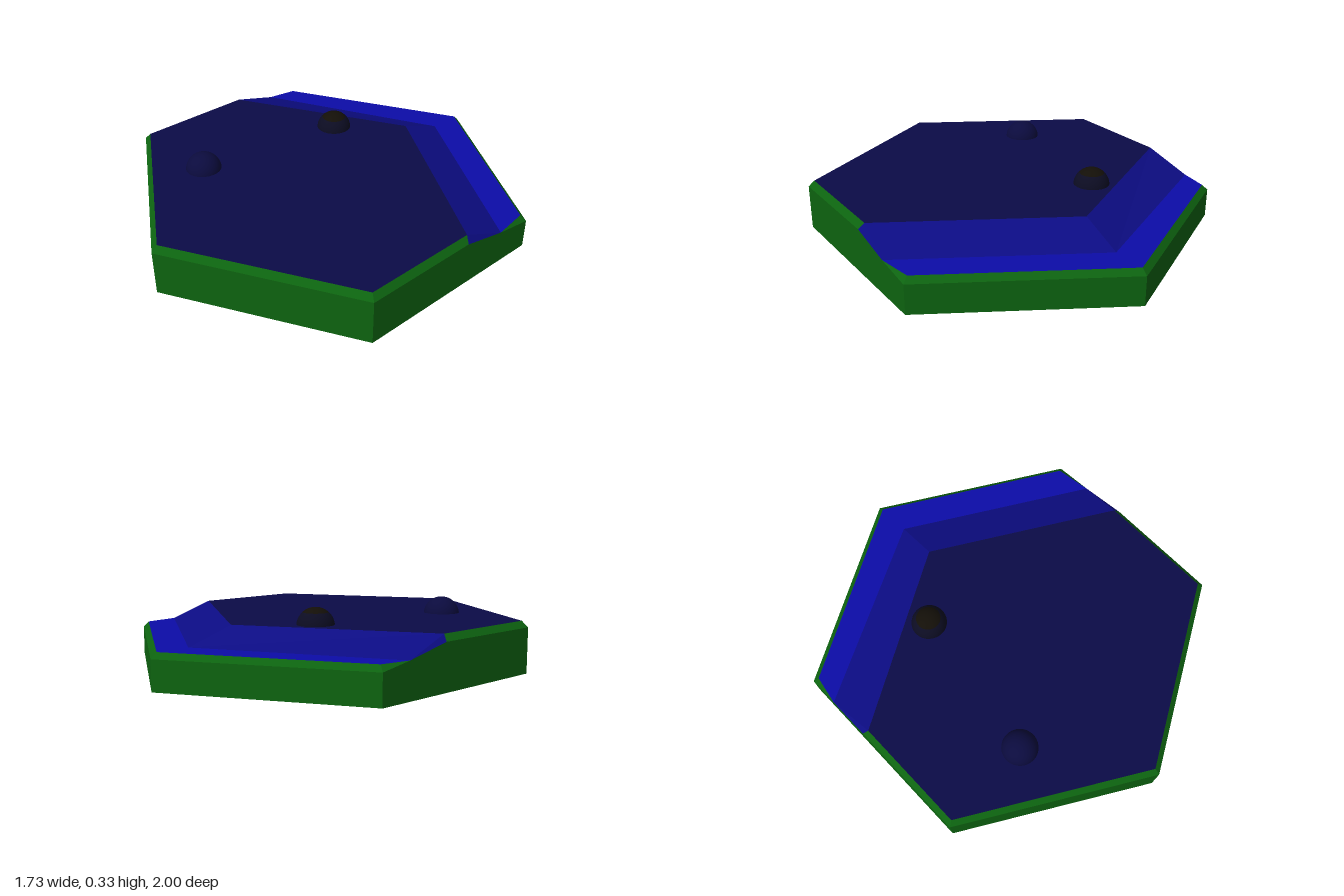
import * as THREE from 'three';

const mat = (name, color) => Object.assign(new THREE.MeshStandardMaterial({ color }), { name });

// Builds one flat-shaded mesh from convex polygons, wound to face away from a point inside the tile
function polygons(name, faces, material) {
  const inside = new THREE.Vector3(0.1, 0.08, 0);
  const pos = [];
  for (const face of faces) {
    const p = face.map((a) => new THREE.Vector3(...a));
    const n = new THREE.Vector3();
    for (let i = 1; i < p.length - 1; i++) {
      n.add(p[i].clone().sub(p[0]).cross(p[i + 1].clone().sub(p[0])));
    }
    if (n.dot(p[0].clone().sub(inside)) < 0) p.reverse();
    for (let i = 1; i < p.length - 1; i++) {
      for (const v of [p[0], p[i], p[i + 1]]) pos.push(v.x, v.y, v.z);
    }
  }
  const g = new THREE.BufferGeometry();
  g.setAttribute('position', new THREE.Float32BufferAttribute(pos, 3));
  g.computeVertexNormals();
  const mesh = new THREE.Mesh(g, material);
  mesh.name = name;
  return mesh;
}

export function createModel() {
  const green = mat('green', 0x0d6410);
  const highBlue = mat('deepNavy', 0x0b0b47);
  const slopeBlue = mat('midBlue', 0x0c0c84);
  const lowBlue = mat('brightBlue', 0x0c0ca8);
  const moundBlue = mat('moundNavy', 0x0b0b3e);
  const moundDark = mat('moundDark', 0x0c0c22);
  const capBrown = mat('darkBrown', 0x130f08);

  const tile = new THREE.Group();
  tile.name = 'hexTile';

  const HIGH = 0.25, HIGH_RIM = 0.22, LOW = 0.17, LOW_RIM = 0.143, INSET = 0.97;
  // Hexagon corner k, counted from the front point towards +x
  const corner = (k, y, r = 1) => [r * Math.sin(k * Math.PI / 3), y, r * Math.cos(k * Math.PI / 3)];
  // Point on the front-right or back-left edge of the hexagon
  const edge = (x, y, side, r = 1) => [x, y, side * (r - Math.abs(x) / Math.sqrt(3))];

  // Where the slope meets the front and back rims
  const frontTop = edge(0.5, HIGH, 1, INSET), frontRim = edge(0.5, HIGH_RIM, 1);
  const frontFoot = edge(0.7, LOW, 1);
  const backTop = edge(-0.34, HIGH, -1, INSET), backRim = edge(-0.34, HIGH_RIM, -1);
  const backFoot = edge(-0.14, LOW, -1);
  const bendTop = [0.5, HIGH, -0.3], bendFoot = [0.7, LOW, -0.4];

  // Base: floor, six walls and the chamfered rim
  const c = (k, y) => corner(k, y), i = (k, y) => corner(k, y, INSET);
  const hex = [0, 1, 2, 3, 4, 5];
  const base = [
    hex.map((k) => c(k, 0)),
    [c(0, 0), c(1, 0), c(1, LOW_RIM), frontFoot, frontRim, c(0, HIGH_RIM)],
    [c(3, 0), c(4, 0), c(4, HIGH_RIM), backRim, backFoot, c(3, LOW_RIM)],
    [c(0, HIGH_RIM), frontRim, frontTop, i(0, HIGH)],
    [c(4, HIGH_RIM), backRim, backTop, i(4, HIGH)],
    [frontFoot, c(1, LOW_RIM), i(1, LOW)],
    [backFoot, c(3, LOW_RIM), i(3, LOW)],
  ];
  for (const [k, rim, top] of [[1, LOW_RIM, LOW], [2, LOW_RIM, LOW], [4, HIGH_RIM, HIGH], [5, HIGH_RIM, HIGH]]) {
    base.push([c(k, 0), c(k + 1, 0), c(k + 1, rim), c(k, rim)]);
    base.push([c(k, rim), c(k + 1, rim), i(k + 1, top), i(k, top)]);
  }
  tile.add(polygons('base', base, green));

  // Upper plateau
  tile.add(polygons('plateau', [
    [i(0, HIGH), frontTop, bendTop, backTop, i(4, HIGH), i(5, HIGH)],
  ], highBlue));

  // Bent slope with its two small rim ends
  tile.add(polygons('slope', [
    [frontTop, bendTop, bendFoot, frontFoot],
    [bendTop, backTop, backFoot, bendFoot],
    [frontTop, frontRim, frontFoot],
    [backTop, backRim, backFoot],
  ], slopeBlue));

  // Lower shelf
  tile.add(polygons('shelf', [
    [frontFoot, i(1, LOW), i(2, LOW), bendFoot],
    [bendFoot, i(2, LOW), i(3, LOW), backFoot],
  ], lowBlue));

  // Two round mounds, the second with a dark cap
  const R = 0.088;
  const dome = (name, material, x, z, from, to) => {
    const mesh = new THREE.Mesh(
      new THREE.SphereGeometry(R, 32, 12, 0, Math.PI * 2, from, to - from), material);
    mesh.name = name;
    mesh.position.set(x, 0.242, z);
    tile.add(mesh);
  };
  const half = Math.PI / 2, capAngle = 0.75;
  dome('leftMound', moundBlue, -0.59, -0.1, 0, half);
  dome('cappedMound', moundDark, 0.125, -0.38, capAngle, half);
  dome('moundCap', capBrown, 0.125, -0.38, 0, capAngle);

  return tile;
}
